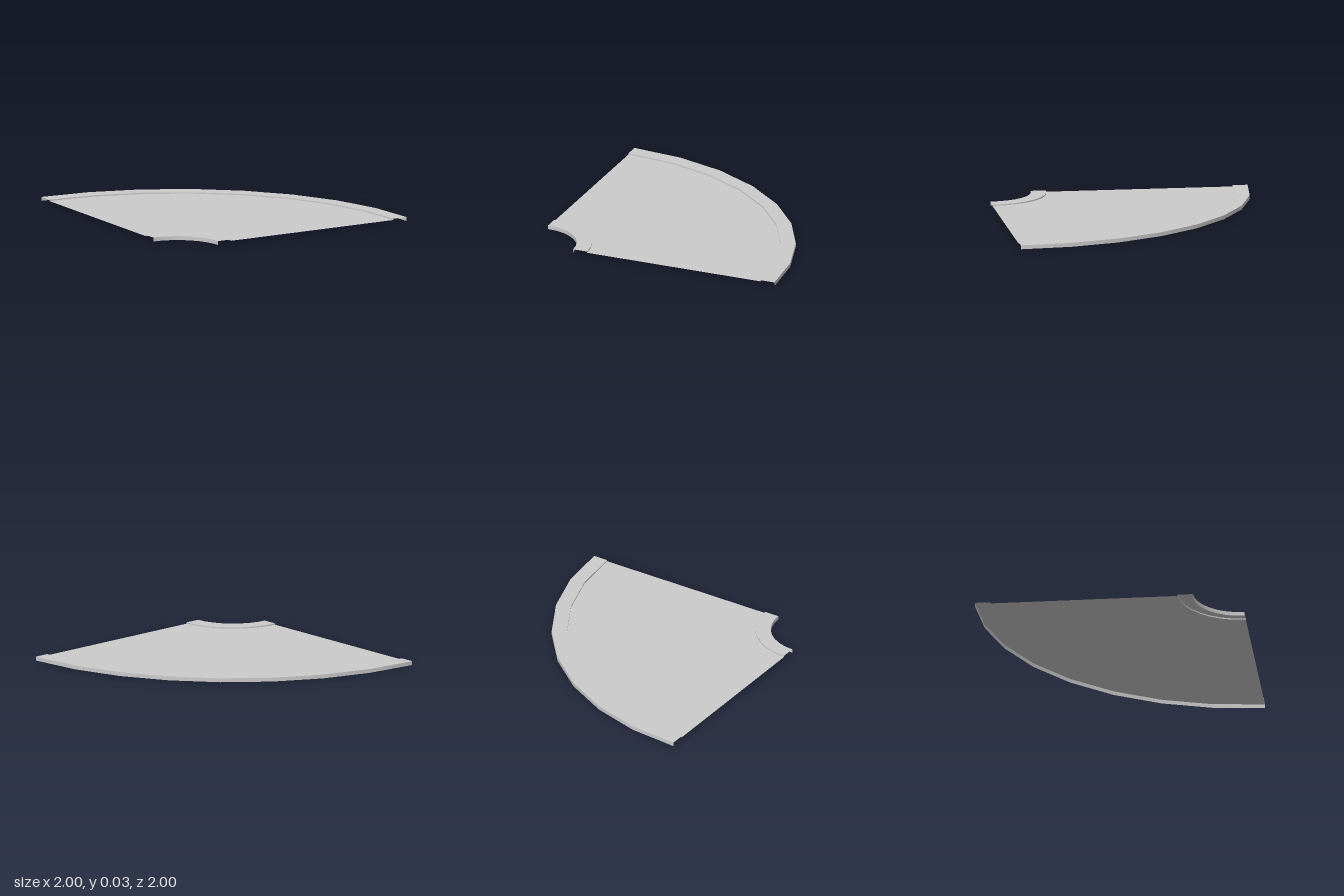
import * as THREE from 'three';

const SEGMENTS = 8; // facets in the quarter turn

export function createModel() {
  const group = new THREE.Group();
  group.name = 'curvedTrack';
  const material = new THREE.MeshStandardMaterial({ color: 0xcccccc, side: THREE.DoubleSide });

  // Radii and heights of the open shell's cross-section
  const outer = 2, outerCurb = 1.885, innerCurb = 0.47, inner = 0.355;
  const top = 0.03, road = 0.02;

  // Each strip is swept on its own so the edges between strips stay sharp
  const strips = [
    ['outerWall', [outer, 0], [outer, top]],
    ['outerCurbTop', [outer, top], [outerCurb, top]],
    ['outerCurbStep', [outerCurb, top], [outerCurb, road]],
    ['roadSurface', [outerCurb, road], [innerCurb, road]],
    ['innerCurbStep', [innerCurb, road], [innerCurb, top]],
    ['innerCurbTop', [innerCurb, top], [inner, top]],
    ['innerWall', [inner, top], [inner, 0]],
  ];

  for (const [name, from, to] of strips) {
    const profile = [new THREE.Vector2(...from), new THREE.Vector2(...to)];
    const geometry = new THREE.LatheGeometry(profile, SEGMENTS, Math.PI / 2, Math.PI / 2);
    geometry.translate(-1, 0, 1); // centre of the bend at the front right corner
    const mesh = new THREE.Mesh(geometry, material);
    mesh.name = name;
    group.add(mesh);
  }
  return group;
}
